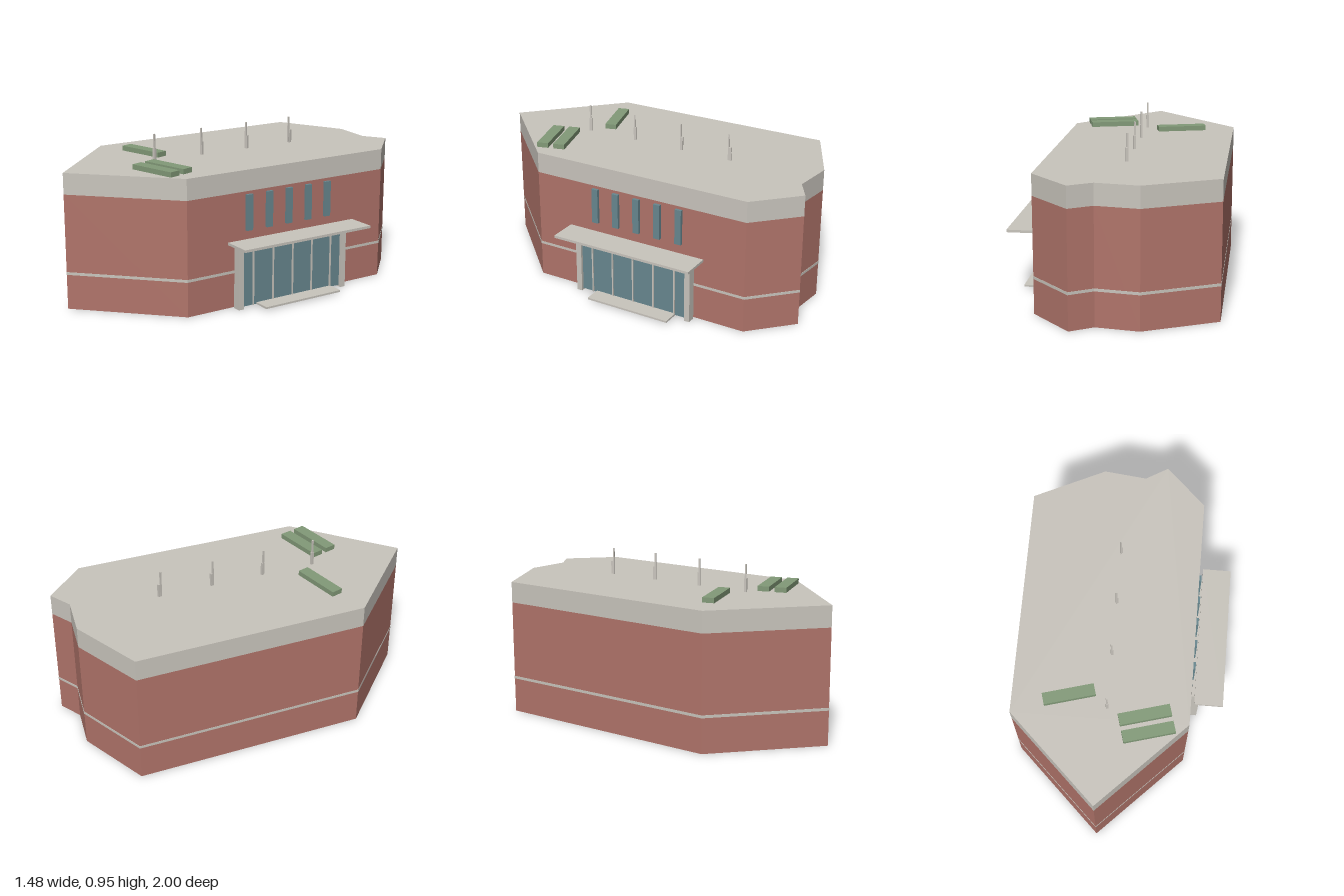
import * as THREE from 'three';

const mat = (name, color) => {
  const m = new THREE.MeshStandardMaterial({ color });
  m.name = name;
  return m;
};

export function createModel() {
  const brick = mat('brick', 0xb0746a);
  const concrete = mat('concrete', 0xc9c5bd);
  const glass = mat('glass', 0x68878f);
  const green = mat('greenMetal', 0x829a78);
  const model = new THREE.Group();
  model.name = 'building';

  // Box given by its minimum and maximum corners
  const box = (parent, name, material, x0, x1, y0, y1, z0, z1) => {
    const mesh = new THREE.Mesh(new THREE.BoxGeometry(x1 - x0, y1 - y0, z1 - z0), material);
    mesh.position.set((x0 + x1) / 2, (y0 + y1) / 2, (z0 + z1) / 2);
    mesh.name = name;
    parent.add(mesh);
  };

  // Irregular footprint as x, z corners
  const footprint = [
    [-0.38, -0.92], [0.07, -1], [0.3, -0.905], [0.445, -0.945],
    [0.605, -0.66], [0.23, 0.65], [-0.38, 0.995], [-0.74, 0.38],
  ];
  const storey = (name, material, y0, y1, scale = 1) => {
    const shape = new THREE.Shape(footprint.map(([x, z]) => new THREE.Vector2(x * scale, -z * scale)));
    const geo = new THREE.ExtrudeGeometry(shape, { depth: y1 - y0, bevelEnabled: false });
    geo.rotateX(-Math.PI / 2).translate(0, y0, 0);
    const mesh = new THREE.Mesh(geo, material);
    mesh.name = name;
    model.add(mesh);
  };
  storey('brickWalls', brick, 0, 0.67);
  storey('roofParapet', concrete, 0.67, 0.793);
  storey('wallStripe', concrete, 0.203, 0.219, 1.002);

  // Entrance side: local x runs along the slanted wall, local z points outward
  const entrance = new THREE.Group();
  entrance.name = 'entranceSide';
  entrance.position.set(0.416, 0, 0);
  entrance.rotation.y = Math.atan2(1.31, 0.375);
  model.add(entrance);

  // Upper windows
  for (let i = -2; i <= 2; i++) {
    const u = i * 0.137;
    box(entrance, 'upperWindow', glass, u - 0.02, u + 0.02, 0.443, 0.653, -0.01, 0.018);
  }

  // Glazed portal with posts and mullions
  box(entrance, 'entranceGlass', glass, -0.346, 0.346, 0.01, 0.375, 0.02, 0.048);
  for (const s of [-1, 1]) {
    box(entrance, 'portalPost', concrete, s * 0.363 - 0.017, s * 0.363 + 0.017, 0, 0.387, 0.015, 0.064);
  }
  box(entrance, 'portalLintel', concrete, -0.346, 0.346, 0.375, 0.387, 0.015, 0.064);
  for (let i = -2; i <= 2; i++) {
    const u = i * 0.137;
    box(entrance, 'mullion', concrete, u - 0.004, u + 0.004, 0.01, 0.375, 0.046, 0.055);
  }

  // Canopy and doorstep
  box(entrance, 'canopy', concrete, -0.432, 0.447, 0.387, 0.402, 0.033, 0.204);
  box(entrance, 'doorstep', concrete, -0.25, 0.28, 0.008, 0.019, 0.035, 0.148);

  // Rooftop units
  for (const [x, z] of [[-0.397, 0.35], [-0.003, 0.55], [-0.003, 0.65]]) {
    box(model, 'rooftopUnit', green, x - 0.148, x + 0.148, 0.79, 0.822, z - 0.034, z + 0.034);
  }

  // Row of rooftop masts on square bases, drifting slightly off centre
  for (let i = 0; i < 4; i++) {
    const x = -0.2 + i * 0.0875, z = 0.46 - i * 0.306;
    box(model, 'mastBase', concrete, x - 0.007, x + 0.007, 0.79, 0.872, z - 0.008, z + 0.008);
    const mx = x - i * 0.0015, mz = z + i * 0.003;
    box(model, 'mast', concrete, mx - 0.0045, mx + 0.0045, 0.79, 0.952, mz - 0.0045, mz + 0.0045);
  }
  return model;
}
